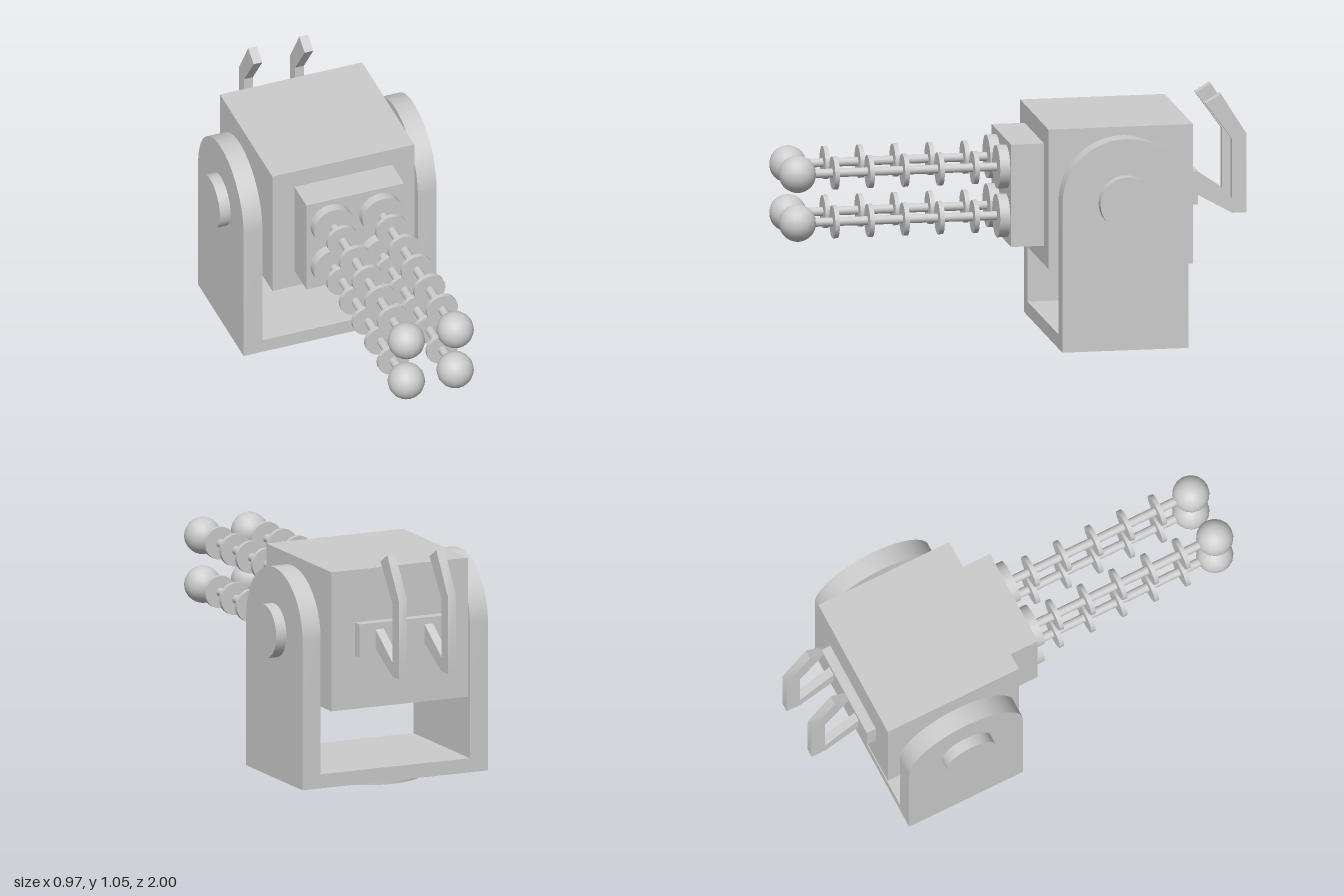
import * as THREE from 'three';
import { toCreasedNormals } from 'three/addons/utils/BufferGeometryUtils.js';

const material = new THREE.MeshStandardMaterial({ color: 0xcccccc });
const PIVOT_Y = 0.66, PIVOT_Z = -0.423;

export function createModel() {
  const root = new THREE.Group();

  const add = (name, geometry, x, y, z, parent = root) => {
    const mesh = new THREE.Mesh(geometry, material);
    mesh.name = name;
    mesh.position.set(x, y, z);
    parent.add(mesh);
    return mesh;
  };

  // Box and cylinders given by their extents
  const box = (name, x0, x1, y0, y1, z0, z1) =>
    add(name, new THREE.BoxGeometry(x1 - x0, y1 - y0, z1 - z0),
      (x0 + x1) / 2, (y0 + y1) / 2, (z0 + z1) / 2);
  const rodAlongZ = (name, r, z0, z1, segments, parent) =>
    add(name, new THREE.CylinderGeometry(r, r, z1 - z0, segments).rotateX(Math.PI / 2),
      0, 0, (z0 + z1) / 2, parent);

  // Side profile drawn in (-z, y), extruded along x and centred on it
  const sideExtrude = (shape, width) => toCreasedNormals(
    new THREE.ExtrudeGeometry(shape, { depth: width, bevelEnabled: false, curveSegments: 24 })
      .translate(0, 0, -width / 2).rotateY(Math.PI / 2), 0.6);

  // Housing with front plate and rear rail
  box('housing', -0.32, 0.32, 0.36, 0.96, -0.735, -0.115);
  box('frontPlate', -0.22, 0.22, 0.44, 0.88, -0.125, 0.026);
  box('rearRail', -0.21, 0.21, 0.59, 0.733, -0.778, -0.725);

  // U-shaped bracket on a turntable
  add('turntable', new THREE.CylinderGeometry(0.237, 0.237, 0.022, 48), 0, 0.011, PIVOT_Z);
  box('bracketBase', -0.35, 0.35, 0.022, 0.083, PIVOT_Z - 0.27, PIVOT_Z + 0.27);
  const armShape = new THREE.Shape();
  armShape.moveTo(-PIVOT_Z - 0.27, 0.022);
  armShape.lineTo(-PIVOT_Z + 0.27, 0.022);
  armShape.lineTo(-PIVOT_Z + 0.27, PIVOT_Y);
  armShape.absarc(-PIVOT_Z, PIVOT_Y, 0.27, 0, Math.PI, false);
  armShape.closePath();
  const armGeometry = sideExtrude(armShape, 0.085);

  // Bent cable hooks on the rear rail
  const hookShape = new THREE.Shape([
    [0.765, 0.63], [0.937, 0.533], [1, 0.533], [1, 0.87], [0.89, 1.046],
    [0.825, 1.007], [0.938, 0.85], [0.938, 0.594], [0.765, 0.713],
  ].map(([a, b]) => new THREE.Vector2(a, b)));
  const hookGeometry = sideExtrude(hookShape, 0.039);

  for (const [side, s] of [['left', 1], ['right', -1]]) {
    add(side + 'BracketArm', armGeometry, s * 0.3925, 0, 0);
    add(side + 'PivotPin', new THREE.CylinderGeometry(0.115, 0.115, 0.173, 40)
      .rotateZ(Math.PI / 2), s * 0.3965, PIVOT_Y, PIVOT_Z);
    add(side + 'Hook', hookGeometry, s * 0.115, 0, 0);
  }

  // Four emitter rods: collar, stem, fins and ball tip
  for (const x of [-0.11, 0.11]) {
    for (const y of [0.555, 0.765]) {
      const emitter = new THREE.Group();
      emitter.name = 'emitterRod';
      emitter.position.set(x, y, 0);
      root.add(emitter);
      rodAlongZ('collar', 0.092, 0.02, 0.069, 32, emitter);
      rodAlongZ('stem', 0.019, 0.06, 0.87, 16, emitter);
      for (let i = 0; i < 5; i++) {
        const z = 0.162 + i * 0.15;
        rodAlongZ('fin', 0.07, z - 0.01, z + 0.01, 24, emitter);
      }
      add('ballTip', new THREE.SphereGeometry(0.079, 16, 14), 0, 0, 0.921, emitter);
    }
  }

  return root;
}
